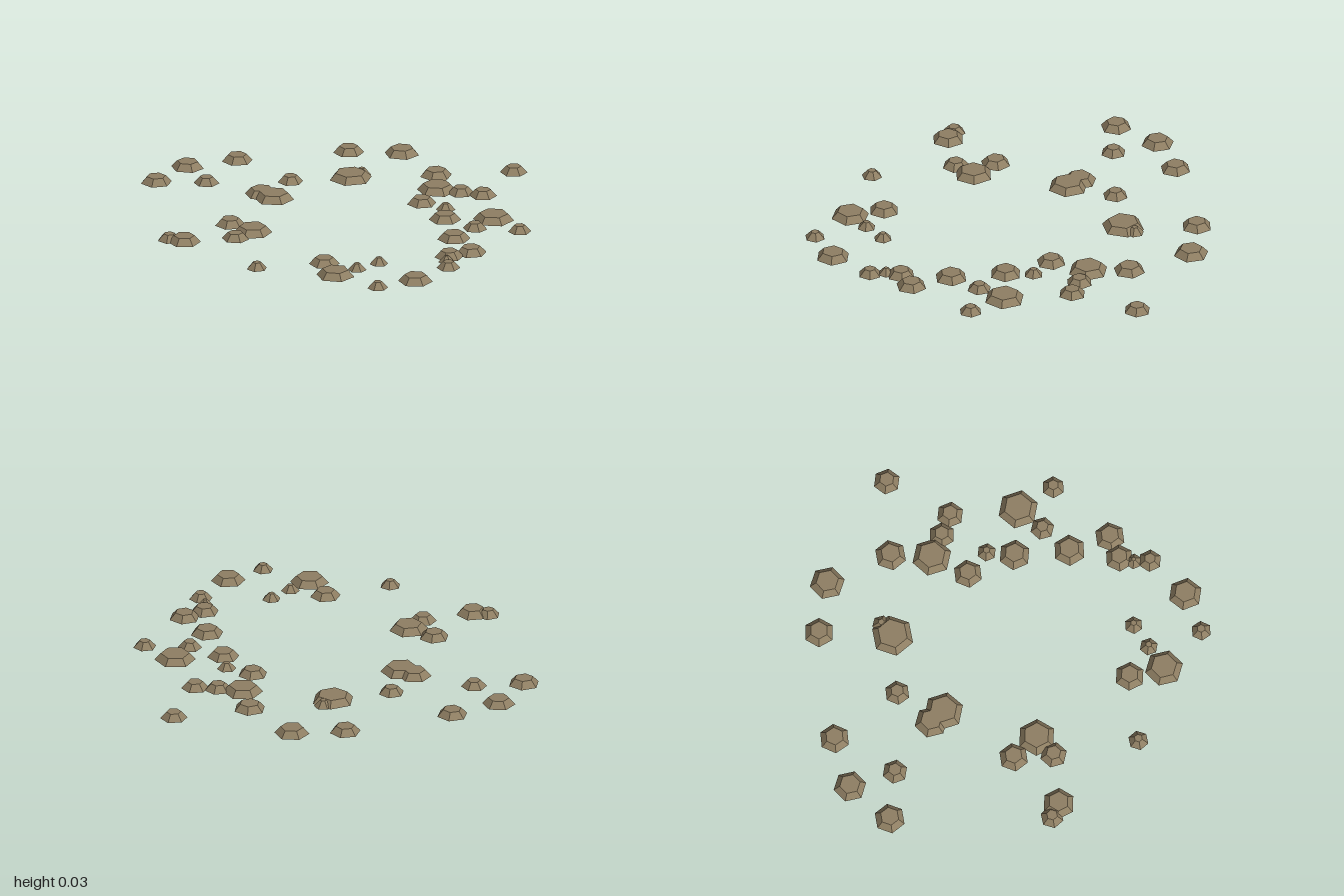
import * as THREE from 'three';

const HEIGHT = 0.033; // every pebble rises equally far out of the ground
const BEVEL = 0.03;   // how far the flat top is set in from the rim

// x, z, rim radius; listed in order of turn, from corner-forward to side-forward
const PEBBLES = [
  [-0.31, -0.71, 0.085], [-0.93, 0.13, 0.08], [0.59, 0.7, 0.093], [-0.42, 0.15, 0.082],
  [-0.26, -0.38, 0.045], [0.64, -0.22, 0.059], [-0.1, 0.67, 0.066],
  [0.15, -0.47, 0.097], [-0.34, 0.15, 0.098],
  [0.62, -0.37, 0.099], [0.61, 0.57, 0.045], [-0.72, 0.22, 0.062],
  [0.92, 0.49, 0.083], [0.25, -0.9, 0.066], [0.36, -0.57, 0.067], [0.36, -0.31, 0.047],
  [0.45, -0.21, 0.078], [0.85, 0.2, 0.04], [0.91, 0.25, 0.057], [0.44, 0.62, 0.074],
  [-0.25, 0.87, 0.08], [-0.1, 0.55, 0.094],
  [-0.51, -0.55, 0.075], [0.26, -0.52, 0.065], [0.82, -0.34, 0.056], [0.66, -0.05, 0.08],
  [0.81, 0.14, 0.07], [0.63, 0.44, 0.045], [0.85, 0.68, 0.05], [-0.82, -0.1, 0.075],
  [-0.44, -0.07, 0.062],
  [0.22, -0.29, 0.072], [0.85, 0.03, 0.075], [-0.25, 0.55, 0.073], [-0.9, 0.38, 0.076],
  [0.01, -0.61, 0.078], [-0.26, -0.3, 0.104], [0.25, 0.89, 0.05], [-0.32, 0.9, 0.057],
];

// Six-sided stone cap: sloping sides and a flat top, open underneath
function pebbleGeometry(radius) {
  const profile = [
    new THREE.Vector2(radius, 0),
    new THREE.Vector2(radius - BEVEL, HEIGHT),
    new THREE.Vector2(0, HEIGHT),
  ];
  return new THREE.LatheGeometry(profile, 6);
}

export function createModel() {
  const model = new THREE.Group();
  model.name = 'scatteredPebbles';
  const stone = new THREE.MeshStandardMaterial({
    name: 'brownStone', color: 0x8f7f63, flatShading: true, side: THREE.DoubleSide,
  });

  PEBBLES.forEach(([x, z, radius], i) => {
    const pebble = new THREE.Mesh(pebbleGeometry(radius), stone);
    pebble.name = `pebble${i + 1}`;
    pebble.position.set(x, 0, z);
    // The turn grows evenly along the list, up to half of a side
    pebble.rotation.y = (i / (PEBBLES.length - 1)) * (Math.PI / 6);
    model.add(pebble);
  });
  return model;
}
